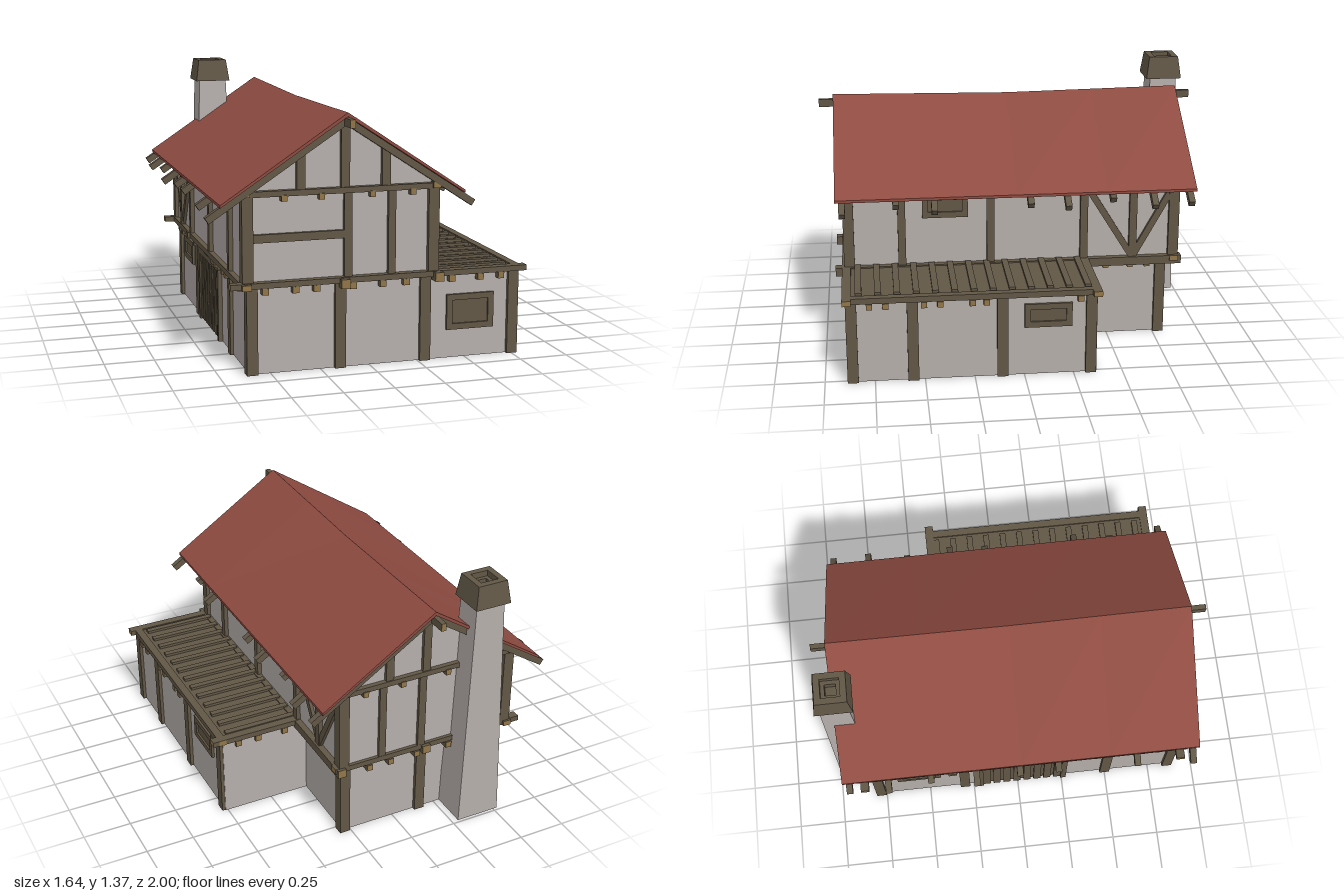
import * as THREE from 'three';

export function createModel() {
  const model = new THREE.Group();
  const mat = (name, color) => {
    const m = new THREE.MeshStandardMaterial({ color });
    m.name = name;
    return m;
  };
  const wallMat = mat('plaster', 0xb5aeab);
  const wood = mat('timber', 0x61574a);
  wood.color.set(0x615746);
  const endGrain = mat('end grain', 0x917648);
  const roofMat = mat('roof red', 0x8e4b41);

  const add = (name, geo, material, parent = model) => {
    const mesh = new THREE.Mesh(geo, material);
    mesh.name = name;
    parent.add(mesh);
    return mesh;
  };
  // Axis-aligned block given by its limits
  const block = (name, x0, x1, y0, y1, z0, z1, material = wood, parent = model) => {
    const m = add(name, new THREE.BoxGeometry(x1 - x0, y1 - y0, z1 - z0), material, parent);
    m.position.set((x0 + x1) / 2, (y0 + y1) / 2, (z0 + z1) / 2);
    return m;
  };
  // Beam from a to b, optionally with pale sawn ends
  const beam = (name, a, b, w, h, sawn = false) => {
    const p = new THREE.Vector3(...a), q = new THREE.Vector3(...b);
    const mats = sawn ? [wood, wood, wood, wood, endGrain, endGrain] : wood;
    const m = add(name, new THREE.BoxGeometry(w, h, p.distanceTo(q)), mats);
    m.position.copy(p).add(q).multiplyScalar(0.5);
    m.lookAt(q);
    return m;
  };
  const post = (name, x, z, y0, y1, w) =>
    block(name, x - w / 2, x + w / 2, y0, y1, z - w / 2, z + w / 2);

  // Ground floor walls, open underneath
  const outline = [[-0.595, 0.86], [0.755, 0.86], [0.755, -0.36], [0.285, -0.36], [0.285, -0.78], [-0.595, -0.78]];
  outline.forEach(([x0, z0], i) => {
    const [x1, z1] = outline[(i + 1) % outline.length], t = 0.008;
    block('groundWall', Math.min(x0, x1) - t, Math.max(x0, x1) + t, 0, 0.44,
      Math.min(z0, z1) - t, Math.max(z0, z1) + t, wallMat);
  });

  // Upper storey with both gables
  const ridgeX = -0.13, pitch = 0.655;
  const under = (x, drop = 0) => 1.25 - drop - Math.abs(x - ridgeX) * pitch;
  const gable = new THREE.Shape([
    [-0.62, 0.45], [0.33, 0.45], [0.33, under(0.33, 0.03)], [ridgeX, under(ridgeX, 0.03)], [-0.62, under(-0.62, 0.03)],
  ].map(p => new THREE.Vector2(...p)));
  const upper = add('upperStorey', new THREE.ExtrudeGeometry(gable, { depth: 1.71, bevelEnabled: false }), wallMat);
  upper.position.z = -0.845;

  // Floor boards and the flat lean-to deck
  block('floorBoards', -0.62, 0.34, 0.428, 0.45, -0.85, 0.87);
  block('leanToDeck', 0.33, 0.775, 0.428, 0.448, -0.37, 0.87);
  for (let i = 0; i < 13; i++) {
    const z = -0.325 + i * 0.0955;
    block('deckSlat', 0.34, 0.73, 0.446, 0.462, z - 0.016, z + 0.016);
  }

  // Ground floor posts
  [-0.5925, -0.1525, 0.285, 0.7525].forEach(x => post('groundPost', x, 0.86, 0, 0.43, 0.055));
  [0.558, 0.11, -0.337].forEach(z => post('groundPost', 0.7525, z, 0, 0.43, 0.055));
  [0.5, -0.3, -0.78].forEach(z => post('groundPost', -0.5925, z, 0, 0.43, 0.055));
  [0.285, -0.1525].forEach(x => post('groundPost', x, -0.78, 0, 0.43, 0.055));
  post('groundPost', 0.285, -0.337, 0, 0.43, 0.055);

  // Floor beams with sawn ends
  beam('crossBeam', [-0.7, 0.442, 0.88], [0.815, 0.442, 0.88], 0.045, 0.028, true);
  beam('crossBeam', [-0.66, 0.442, -0.362], [0.82, 0.442, -0.362], 0.045, 0.028, true);
  beam('crossBeam', [-0.7, 0.442, -0.84], [0.37, 0.442, -0.84], 0.045, 0.028, true);
  beam('lengthBeam', [-0.625, 0.44, -0.875], [-0.625, 0.44, 0.925], 0.045, 0.028, true);
  beam('lengthBeam', [-0.14, 0.43, -0.88], [-0.14, 0.43, 0.935], 0.045, 0.045, true);
  beam('lengthBeam', [0.34, 0.432, -0.88], [0.34, 0.432, 0.935], 0.045, 0.045, true);
  beam('lengthBeam', [0.768, 0.441, -0.385], [0.768, 0.441, 0.895], 0.04, 0.03, true);

  // Small joists under the floor
  [-0.53, -0.38, -0.275, -0.09, 0.06, 0.18].forEach(x =>
    beam('joist', [x, 0.411, -0.87], [x, 0.411, 0.9], 0.032, 0.032, true));
  [0.42, 0.57, 0.68].forEach(x =>
    beam('joist', [x, 0.411, -0.385], [x, 0.411, 0.9], 0.032, 0.032, true));
  [0.77, 0.69, 0.5, 0.42, 0.26, 0.19, -0.28].forEach(z =>
    beam('joist', [-0.64, 0.409, z], [0.79, 0.409, z], 0.03, 0.03, true));
  [-0.48, -0.61, -0.7].forEach(z =>
    beam('joist', [-0.64, 0.409, z], [0.35, 0.409, z], 0.03, 0.03, true));

  // Upper framing on the two gable ends
  for (const [z, out] of [[0.868, 1], [-0.842, -1]]) {
    post('cornerPost', -0.6125, z - out * 0.005, 0.45, 0.87, 0.055);
    post('cornerPost', 0.3225, z - out * 0.005, 0.45, 0.87, 0.055);
    post('gablePost', -0.115, z, 0.45, 0.87, 0.04);
    post('gablePost', 0.1075, z, 0.45, 0.87, 0.038);
    [-0.35, ridgeX, 0.075].forEach(x => post('gableStud', x, z, 0.89, under(x, 0.03), 0.043));
    beam('tieBeam', [-0.66, 0.88, z + out * 0.008], [0.375, 0.88, z + out * 0.008], 0.04, 0.028);
  }
  block('gableRail', -0.6, -0.1, 0.645, 0.685, 0.855, 0.883);

  // Upper framing on the long sides
  for (const x of [0.332, -0.622]) {
    [0.59, 0.13, -0.36, -0.62].forEach(z => post('sidePost', x, z, 0.45, 0.9, 0.04));
    beam('wallPlate', [x, 0.885, -0.875], [x, 0.885, 0.905], 0.04, 0.03, true);
    beam('brace', [x, 0.87, -0.36], [x, 0.45, -0.62], 0.03, 0.034);
    beam('brace', [x, 0.87, -0.85], [x, 0.45, -0.62], 0.03, 0.034);
  }
  [-0.435, -0.25, 0.005, 0.21].forEach(x =>
    beam('upperJoist', [x, 0.857, -0.875], [x, 0.857, 0.9], 0.028, 0.03, true));
  [0.68, 0.62, 0.43, 0.24, 0.03, -0.05, -0.13, -0.41, -0.55, -0.72].forEach(z =>
    beam('upperJoist', [-0.66, 0.855, z], [0.37, 0.855, z], 0.026, 0.028, true));

  // Roof skin, slightly sagging along the ridge
  const skin = new THREE.Shape([
    [-0.75, under(-0.75, 0.014)], [ridgeX, 1.236], [0.47, under(0.47, 0.014)],
    [0.47, under(0.47)], [ridgeX, 1.255], [-0.75, under(-0.75)],
  ].map(p => new THREE.Vector2(...p)));
  const roofGeo = new THREE.ExtrudeGeometry(skin, { depth: 1.85, steps: 4, bevelEnabled: false });
  roofGeo.translate(0, 0, -0.925);
  const rp = roofGeo.attributes.position;
  for (let i = 0; i < rp.count; i++) {
    if (Math.abs(rp.getX(i) - ridgeX) < 0.1)
      rp.setY(i, rp.getY(i) - 0.014 * (1 - Math.abs(rp.getZ(i)) / 0.925));
  }
  roofGeo.computeVertexNormals();
  add('roof', roofGeo, roofMat);

  // Ridge beam and rafters with uneven tails
  beam('ridgeBeam', [ridgeX, 1.21, -1], [ridgeX, 1.21, 1], 0.026, 0.04, true);
  const rafter = (x, z) =>
    beam('rafter', [ridgeX, 1.214, z], [x, under(x, 0.036), z], 0.032, 0.034);
  [[-0.89, -0.785], [-0.69, -0.8], [-0.47, -0.775], [-0.235, -0.81], [-0.01, -0.785], [0.19, -0.785], [0.6, -0.795], [0.89, -0.81]]
    .forEach(([z, x]) => rafter(x, z));
  [[-0.89, 0.515], [-0.7, 0.525], [-0.49, 0.48], [-0.255, 0.515], [-0.065, 0.495], [0.425, 0.515], [0.62, 0.48], [0.89, 0.52]]
    .forEach(([z, x]) => rafter(x, z));

  // Framed windows with a recessed panel
  const windowAt = (x, y, z, w, h, turn) => {
    const g = new THREE.Group();
    g.name = 'window';
    const b = 0.03, d = 0.022;
    for (const s of [-1, 1]) {
      const cx = s * (w - b) / 2, cy = s * (h - b) / 2;
      block('windowJamb', cx - b / 2, cx + b / 2, -h / 2, h / 2, -d, d, wood, g);
      block('windowRail', -w / 2 + b, w / 2 - b, cy - b / 2, cy + b / 2, -d, d, wood, g);
    }
    block('windowPanel', -w / 2 + b, w / 2 - b, -h / 2 + b, h / 2 - b, -0.012, 0.012, wood, g);
    g.position.set(x, y, z);
    g.rotation.y = turn;
    model.add(g);
  };
  windowAt(0.525, 0.235, 0.86, 0.25, 0.18, 0);
  windowAt(0.755, 0.322, -0.12, 0.24, 0.125, Math.PI / 2);
  windowAt(0.33, 0.77, 0.365, 0.235, 0.125, Math.PI / 2);
  windowAt(-0.595, 0.315, -0.55, 0.24, 0.125, -Math.PI / 2);

  // Slatted double door on the right-hand wall
  block('doorBacking', -0.606, -0.584, 0.01, 0.38, -0.19, 0.24);
  for (let i = 0; i < 8; i++) {
    const z = -0.175 + i * 0.057;
    block('doorSlat', -0.618, -0.574, 0.01, 0.385, z - 0.02, z + 0.02);
  }
  block('doorLintel', -0.625, -0.57, 0.37, 0.4, -0.22, 0.27);
  [-0.21, 0.26].forEach(z => block('doorJamb', -0.625, -0.57, 0, 0.38, z - 0.015, z + 0.015));

  // Tapered chimney stack
  const stack = new THREE.BoxGeometry(1, 1.26, 1);
  const sp = stack.attributes.position;
  for (let i = 0; i < sp.count; i++) {
    const top = sp.getY(i) > 0, right = sp.getX(i) > 0, front = sp.getZ(i) > 0;
    sp.setXYZ(i,
      top ? (right ? -0.325 : -0.48) : (right ? -0.285 : -0.522),
      top ? 1.26 : 0,
      front ? (top ? -0.83 : -0.78) : (top ? -0.975 : -0.985));
  }
  stack.computeVertexNormals();
  add('chimneyStack', stack, wallMat);

  // Square chimney cap with a sunken flue
  const r2 = Math.SQRT2;
  const profile = [[0, 1.25], [0.097, 1.25], [0.08, 1.37], [0.048, 1.37], [0.048, 1.34], [0.028, 1.34], [0.028, 1.3], [0, 1.3]]
    .map(([r, y]) => new THREE.Vector2(r * r2, y));
  const capGeo = new THREE.LatheGeometry(profile, 4, Math.PI / 4).toNonIndexed();
  capGeo.computeVertexNormals();
  add('chimneyCap', capGeo, wood).position.set(-0.404, 0, -0.903);

  return model;
}
